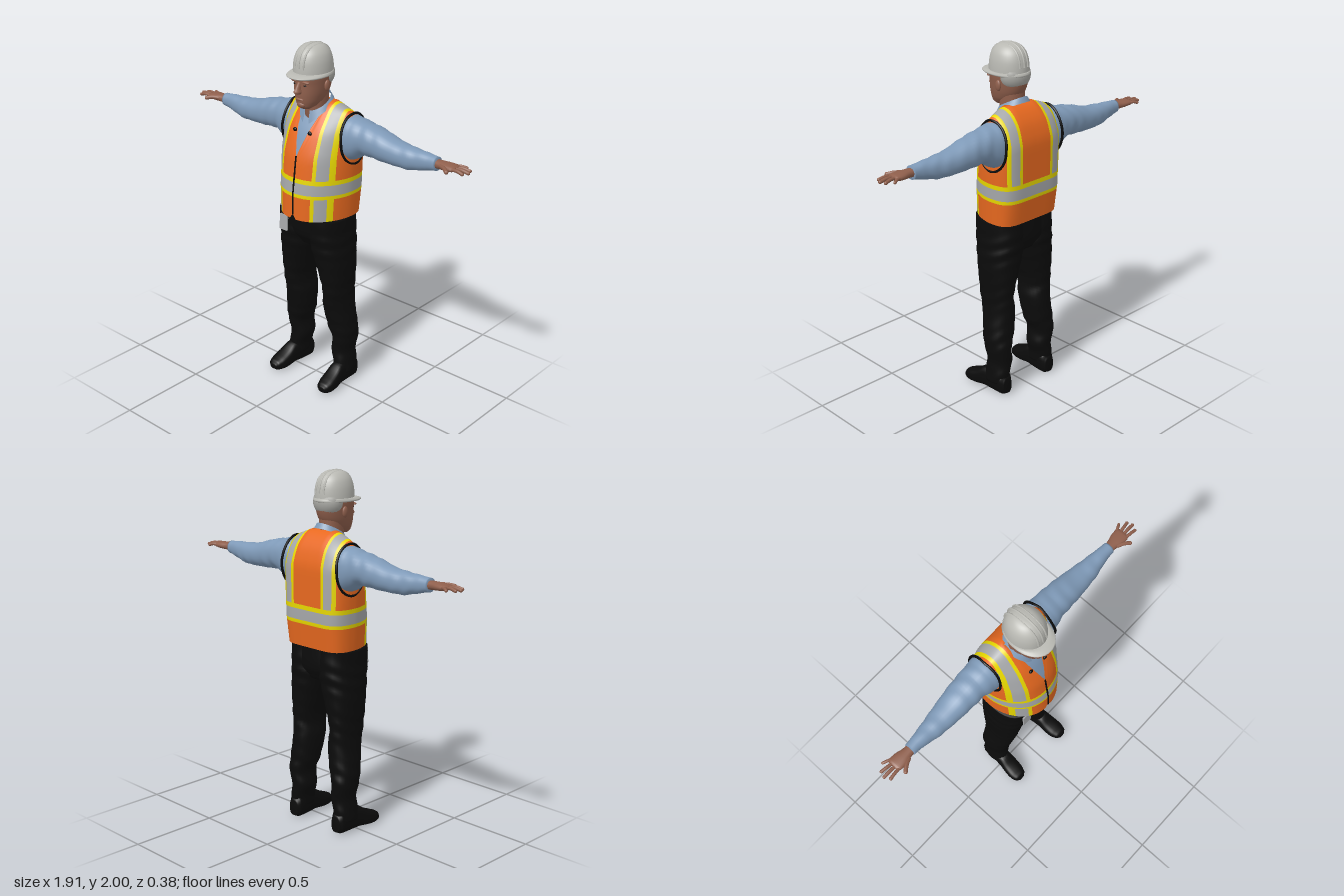
import * as THREE from 'three';
import { mergeVertices } from 'three/addons/utils/BufferGeometryUtils.js';

const material = (name, color, side = THREE.FrontSide) => {
  const m = new THREE.MeshStandardMaterial({ color, side });
  m.name = name;
  return m;
};
const skin = material('skin', 0x8f5f4c);
const shirtBlue = material('shirt blue', 0x7f9ab8, THREE.DoubleSide);
const orange = material('vest orange', 0xea6a20, THREE.DoubleSide);
const yellow = material('vest yellow', 0xe8d800, THREE.DoubleSide);
const silver = material('reflective silver', 0xa6a8aa, THREE.DoubleSide);
const black = material('black cloth', 0x0b0b0b);
const helmetWhite = material('helmet white', 0xb9b9b3);
const hairGrey = material('hair grey', 0xa9a9a4);

// Piecewise linear lookup in [[key, value], ...]
function lookup(table, k) {
  for (let i = 1; i < table.length; i++) {
    const [k0, v0] = table[i - 1], [k1, v1] = table[i];
    if (k <= k1) return v0 + (v1 - v0) * Math.max(0, (k - k0) / (k1 - k0));
  }
  return table[table.length - 1][1];
}

// Closed skin over rings [y, centreX, halfWidth, zBack, zFront]; fold adds cloth wrinkles
function loft(rings, { n = 2.2, seg = 28, sub = 4, fold = 0 } = {}) {
  const pos = [], index = [], rows = [];
  const cr = (a, b, c, d, t) => b + 0.5 * t * (c - a + t * (2 * a - 5 * b + 4 * c - d + t * (3 * (b - c) + d - a)));
  for (let i = 0; i < rings.length - 1; i++) {
    const a = rings[Math.max(0, i - 1)], b = rings[i], c = rings[i + 1], d = rings[Math.min(rings.length - 1, i + 2)];
    for (let s = 0; s < sub; s++) {
      const t = s / sub;
      rows.push(b.map((v, k) => (k ? cr(a[k], v, c[k], d[k], t) : v + (c[0] - v) * t)));
    }
  }
  rows.push(rings[rings.length - 1]);
  const power = (v) => Math.sign(v) * Math.abs(v) ** (2 / n);
  for (const [y, cx, w, zb, zf] of rows) {
    for (let j = 0; j < seg; j++) {
      const a = (j / seg) * Math.PI * 2;
      const r = 1 + fold * Math.sin(y * 75 + 2 * Math.sin(a) + 1.3 * Math.cos(2 * a)) * (0.6 + 0.4 * Math.sin(y * 23));
      pos.push(cx + w * r * power(Math.cos(a)), y, (zb + zf) / 2 + ((zf - zb) / 2) * r * power(Math.sin(a)));
    }
  }
  for (let i = 0; i < rows.length - 1; i++) for (let j = 0; j < seg; j++) {
    const a = i * seg + j, b = i * seg + (j + 1) % seg, c = a + seg, d = b + seg;
    index.push(a, c, b, b, c, d);
  }
  const last = (rows.length - 1) * seg, mid = pos.length / 3;
  for (const [y, cx, , zb, zf] of [rows[0], rows[rows.length - 1]]) pos.push(cx, y, (zb + zf) / 2);
  for (let j = 0; j < seg; j++) {
    const k = (j + 1) % seg;
    index.push(mid, j, k, mid + 1, last + k, last + j);
  }
  return buffer(pos, index);
}

function buffer(pos, index) {
  const g = new THREE.BufferGeometry();
  g.setAttribute('position', new THREE.Float32BufferAttribute(pos, 3));
  g.setIndex(index);
  g.computeVertexNormals();
  return g;
}

// Sheet of cols x rows points; colourOf sorts its quads into material groups
function sheet(cols, rows, point, groupCount = 1, colourOf = () => 0) {
  const pos = [], buckets = Array.from({ length: groupCount }, () => []);
  for (let r = 0; r < rows; r++) for (let c = 0; c < cols; c++) pos.push(...point(c, r));
  for (let r = 0; r < rows - 1; r++) for (let c = 0; c < cols - 1; c++) {
    const a = r * cols + c, d = a + cols;
    buckets[colourOf(c, r)].push(a, a + 1, d + 1, a, d + 1, d);
  }
  let g = mergeVertices(buffer(pos, buckets.flat()).deleteAttribute('normal'), 1e-4);
  g.computeVertexNormals();
  let start = 0;
  buckets.forEach((b, i) => { g.addGroup(start, b.length, i); start += b.length; });
  return g;
}

function mirrored(g) {
  const m = g.clone().scale(-1, 1, 1), ix = m.index.array;
  for (let i = 0; i < ix.length; i += 3) [ix[i], ix[i + 1]] = [ix[i + 1], ix[i]];
  m.computeVertexNormals();
  return m;
}

const ellipsoid = (x, y, z, rx, ry, rz) => new THREE.SphereGeometry(1, 24, 16).scale(rx, ry, rz).translate(x, y, z);
const tube = (points, r, closed = false, seg = 40) => new THREE.TubeGeometry(
  new THREE.CatmullRomCurve3(points.map((p) => new THREE.Vector3(...p)), closed), seg, r, 8, closed);

// Torso surface: f runs -1..1 across the body
const SEAM_Z = -0.05;
const frontZ = [[1.05, 0.19], [1.2, 0.186], [1.4, 0.16], [1.54, 0.108], [1.61, 0.068], [1.7, 0.04]];
const backZ = [[1.05, -0.17], [1.2, -0.188], [1.5, -0.19], [1.6, -0.172], [1.7, -0.14]];
const halfWidth = [[1.05, 0.212], [1.2, 0.22], [1.35, 0.225], [1.5, 0.225], [1.65, 0.215]];
const shoulderY = [[0, 1.685], [0.37, 1.685], [0.86, 1.645], [0.95, 1.625], [1, 1.59]];
function torso(f, y, front) {
  const a = Math.abs(f), t = Math.max(0, (y - 1.4) / (lookup(shoulderY, a) - 1.4));
  const cap = Math.sqrt(Math.max(0, 1 - t ** 4));
  const round = front ? (1 - a ** 2.2) ** 0.55 : (1 - a ** 6) ** 0.4;
  return [f * lookup(halfWidth, y), y, SEAM_Z + (lookup(front ? frontZ : backZ, y) - SEAM_Z) * round * cap];
}

function vestGeometry() {
  const half = [0, 0.03, 0.1, 0.2, 0.3, 0.37, 0.46, 0.54, 0.65, 0.77, 0.86, 0.92, 0.96, 0.985, 0.996, 1];
  const across = [...half.slice(1).reverse().map((v) => -v), ...half];
  const cols = [...across.map((f) => [f, true]), ...across.slice(0, -1).reverse().map((f) => [f, false])];
  const low = [1.05, 1.12, 1.18, 1.2, 1.26, 1.285], upper = 18;
  const point = (c, r) => {
    const [f, front] = cols[c], a = Math.abs(f);
    const top = front && a < 0.37 ? 1.4 + 0.285 * (a / 0.37) : lookup(shoulderY, a);
    let y = low[r];
    if (r === 0 && front) y += 0.03 * Math.max(0, 1 - a / 0.1);
    if (r >= low.length) y = 1.285 + (top - 1.285) * (1 - (1 - (r - low.length + 1) / upper) ** 2);
    return torso(f, y, front);
  };
  // 0 orange, 1 yellow, 2 silver
  const colourOf = (c, r) => {
    if (r === 3) return 2;
    if (r === 2 || r === 4) return 1;
    const front = cols[c][1] && cols[c + 1][1], a = Math.abs(cols[c][0] + cols[c + 1][0]) / 2;
    if (r < 2 && !front) return 0;
    return a > 0.54 && a < 0.77 ? 2 : a > 0.46 && a < 0.86 ? 1 : 0;
  };
  return sheet(cols.length, low.length + upper, point, 3, colourOf);
}

export function createModel() {
  const model = new THREE.Group();
  const add = (name, g, m) => {
    const mesh = new THREE.Mesh(g, m);
    mesh.name = name;
    model.add(mesh);
  };
  const pair = (name, g, m) => { add(name + 'Left', g, m); add(name + 'Right', mirrored(g), m); };

  // Trousers and shoes
  add('hips', loft([[0.865, 0, 0.12, -0.13, 0.08], [0.93, 0, 0.2, -0.165, 0.122], [1.05, 0, 0.205, -0.165, 0.135], [1.15, 0, 0.19, -0.16, 0.14]]), black);
  pair('trouserLeg', loft([
    [0.07, 0.175, 0.052, -0.135, 0.02], [0.13, 0.171, 0.054, -0.138, 0.018], [0.2, 0.157, 0.061, -0.14, 0.012],
    [0.28, 0.17, 0.062, -0.148, 0.022], [0.36, 0.157, 0.078, -0.142, 0.037], [0.5, 0.14, 0.077, -0.14, 0.062],
    [0.6, 0.145, 0.07, -0.14, 0.08], [0.75, 0.13, 0.093, -0.152, 0.1], [0.86, 0.113, 0.109, -0.16, 0.118],
    [0.95, 0.108, 0.107, -0.167, 0.13], [1.05, 0.106, 0.105, -0.165, 0.135]], { sub: 8, fold: 0.022 }), black);
  pair('shoe', loft([
    [-0.142, 0.17, 0.03, -0.1, -0.01], [-0.12, 0.17, 0.045, -0.13, 0], [-0.05, 0.172, 0.046, -0.14, 0],
    [0.02, 0.178, 0.046, -0.13, -0.004], [0.07, 0.182, 0.051, -0.098, 0], [0.12, 0.186, 0.05, -0.075, 0],
    [0.155, 0.188, 0.038, -0.06, -0.005], [0.168, 0.188, 0.02, -0.042, -0.014]], { n: 2.7 }).rotateX(Math.PI / 2), black);
  add('beltBadge', new THREE.BoxGeometry(0.055, 0.09, 0.009).rotateX(-0.06).translate(-0.115, 0.978, 0.138), silver);

  // Vest with zip, clips and armhole trim
  add('vest', vestGeometry(), [orange, yellow, silver]);
  add('zip', tube([1.08, 1.15, 1.22, 1.3, 1.36, 1.405].map((y) => torso(0, y, true)), 0.005), black);
  const [clipX, clipY, clipZ] = torso(0.235, 1.53, true);
  pair('vestClip', ellipsoid(clipX, clipY, clipZ + 0.004, 0.013, 0.011, 0.008), black);
  pair('armholeTrim', tube(Array.from({ length: 20 }, (_, i) => {
    const a = (i / 20) * Math.PI * 2, s = Math.sin(a), c = Math.cos(a);
    return [0.224 - 0.014 * Math.abs(s) - 0.018 * Math.max(0, c), 1.495 + 0.138 * c, -0.067 + 0.108 * s];
  }), 0.007, true, 60), black);

  // Shirt front, collar and sleeves
  add('shirtFront', sheet(17, 16, (c, r) => {
    const f = -0.45 + 0.9 * (c / 16), p = torso(f, 1.3 + (lookup(shoulderY, Math.abs(f)) - 1.305) * (r / 15), true);
    return [p[0], p[1], p[2] - 0.012];
  }), shirtBlue);
  add('collar', sheet(33, 4, (c, r) => {
    const a = 0.22 + (Math.PI * 2 - 0.44) * (c / 32), out = Math.abs(1.2 - r * 0.6), co = Math.cos(a);
    const tip = Math.max(0, co) ** 4;
    const fold = r === 0 ? 1 : r === 1 ? 0.55 : r === 2 ? 0.05 : 0;
    return [(0.07 + 0.02 * fold) * Math.sin(a), 1.682 - 0.042 * co - fold * (0.03 + 0.045 * tip) - 0.004 * out * (r === 3 ? 1 : 0),
      -0.008 + (0.078 + 0.016 * fold) * co];
  }), shirtBlue);
  pair('sleeve', loft([
    [0.13, -1.505, 0.1, -0.14, 0.01], [0.2, -1.5, 0.122, -0.164, 0.03], [0.24, -1.502, 0.113, -0.162, 0.026],
    [0.3, -1.515, 0.088, -0.156, 0.016], [0.4, -1.503, 0.08, -0.15, 0.01], [0.5, -1.487, 0.067, -0.14, 0],
    [0.6, -1.482, 0.06, -0.124, -0.012], [0.7, -1.491, 0.045, -0.107, -0.03], [0.757, -1.495, 0.036, -0.1, -0.033]],
  { sub: 7, fold: 0.03 }).rotateZ(-Math.PI / 2), shirtBlue);

  // Hands
  pair('palm', loft([
    [0.74, -1.496, 0.024, -0.094, -0.04], [0.78, -1.497, 0.022, -0.096, -0.036], [0.82, -1.498, 0.02, -0.106, -0.026],
    [0.86, -1.499, 0.016, -0.108, -0.026], [0.875, -1.499, 0.01, -0.1, -0.034]], { seg: 18 }).rotateZ(-Math.PI / 2), skin);
  const fingers = [[0.85, -0.098, 0.905, -0.118, 0.008], [0.86, -0.08, 0.942, -0.092, 0.009], [0.86, -0.06, 0.953, -0.062, 0.0095],
    [0.86, -0.038, 0.937, -0.032, 0.009], [0.79, -0.04, 0.865, -0.002, 0.011]];
  fingers.forEach(([x0, z0, x1, z1, r], i) => pair('finger' + (i + 1),
    tube([[x0, 1.5, z0], [(x0 + x1) / 2, 1.502, (z0 + z1) / 2], [x1 - r, 1.496, z1]], r, false, 8), skin));
  fingers.forEach(([, , x1, z1, r], i) => pair('fingertip' + (i + 1), ellipsoid(x1 - r, 1.496, z1, r, r, r), skin));

  // Neck, head and face
  add('neck', loft([[1.56, 0, 0.06, -0.06, 0.05], [1.66, 0, 0.062, -0.068, 0.066], [1.78, 0, 0.066, -0.07, 0.07]]), skin);
  add('head', loft([
    [1.657, 0, 0.03, 0.05, 0.108], [1.67, 0, 0.048, 0.01, 0.122], [1.7, 0, 0.066, -0.04, 0.13], [1.74, 0, 0.078, -0.072, 0.134],
    [1.79, 0, 0.085, -0.088, 0.134], [1.84, 0, 0.088, -0.088, 0.136], [1.9, 0, 0.075, -0.075, 0.115]]), skin);
  add('nose', loft([[1.744, 0, 0.012, 0.11, 0.148], [1.754, 0, 0.019, 0.11, 0.168], [1.772, 0, 0.014, 0.11, 0.16], [1.808, 0, 0.01, 0.11, 0.14]], { seg: 14 }), skin);
  add('lips', ellipsoid(0, 1.713, 0.129, 0.028, 0.008, 0.01), skin);
  add('chin', ellipsoid(0, 1.682, 0.115, 0.028, 0.018, 0.018), skin);
  pair('brow', ellipsoid(0.036, 1.81, 0.122, 0.028, 0.008, 0.014), skin);
  pair('eye', ellipsoid(0.034, 1.792, 0.125, 0.011, 0.004, 0.005), black);
  pair('ear', ellipsoid(0.089, 1.78, 0.012, 0.011, 0.03, 0.019), skin);
  add('hair', ellipsoid(0, 1.83, -0.024, 0.091, 0.082, 0.075), hairGrey);

  // Helmet with brim and crown ribs
  const dome = [[1, 0], [0.985, 0.25], [0.93, 0.5], [0.8, 0.73], [0.56, 0.905], [0.28, 0.98], [0.001, 1]];
  const profile = new THREE.SplineCurve(dome.map(([r, y]) => new THREE.Vector2(r, y))).getPoints(24);
  add('helmetShell', new THREE.LatheGeometry(profile, 40).scale(0.1, 0.153, 0.117).translate(0, 1.843, 0.021), helmetWhite);
  add('helmetBrim', loft([[1.832, 0, 0.103, -0.098, 0.18], [1.836, 0, 0.107, -0.102, 0.186], [1.842, 0, 0.106, -0.102, 0.183],
    [1.852, 0, 0.1, -0.097, 0.145]], { n: 2.1, seg: 40, sub: 2 }), helmetWhite);
  const rib = (x, k) => tube([...dome.slice(1, -1).map(([r, y]) => [x, 1.841 + 0.153 * y * k, 0.021 + 0.117 * r * k]),
    [x, 1.841 + 0.153 * k, 0.021], ...dome.slice(1, -1).reverse().map(([r, y]) => [x, 1.841 + 0.153 * y * k, 0.021 - 0.117 * r * k])], 0.006);
  add('helmetCentreRib', rib(0, 0.995), helmetWhite);
  pair('helmetSideRib', rib(0.028, 0.962), helmetWhite);
  return model;
}
